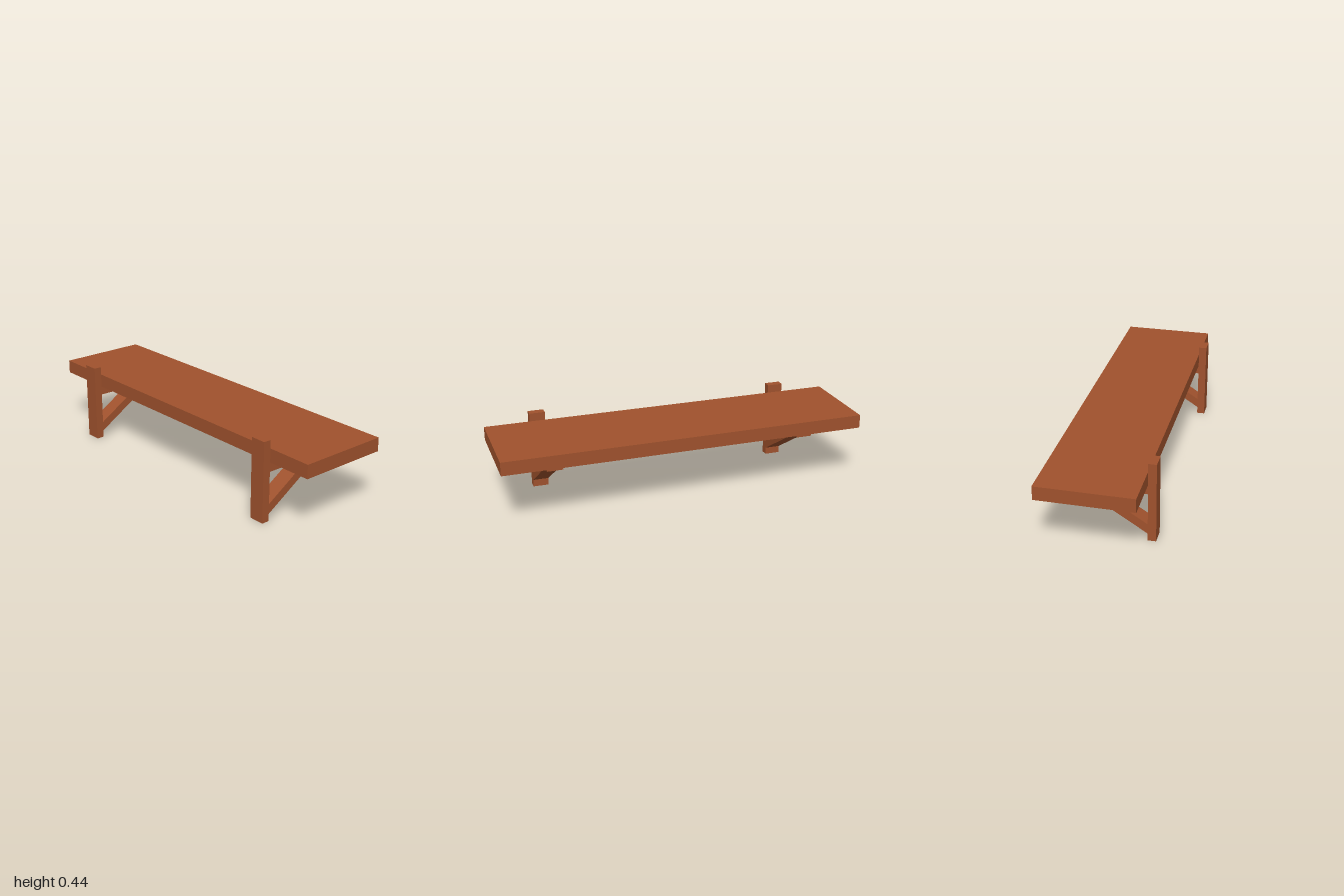
import * as THREE from 'three';

export function createModel() {
  const model = new THREE.Group();
  model.name = 'wallShelf';
  const wood = new THREE.MeshStandardMaterial({ color: 0xa0522d });
  wood.name = 'brown wood';

  const W = 0.086; // bracket timber width

  // Box given by its extents in y and z
  function beam(name, width, y0, y1, z0, z1) {
    const mesh = new THREE.Mesh(new THREE.BoxGeometry(width, y1 - y0, z1 - z0), wood);
    mesh.position.set(0, (y0 + y1) / 2, (z0 + z1) / 2);
    mesh.name = name;
    return mesh;
  }

  // Board
  model.add(beam('shelfBoard', 2, 0.318, 0.392, -0.272, 0.229));

  // Diagonal brace profile (z, y), mitred against post and arm
  const profile = new THREE.Shape([
    new THREE.Vector2(0.229, 0.04),
    new THREE.Vector2(0.229, 0.094),
    new THREE.Vector2(-0.046, 0.268),
    new THREE.Vector2(-0.132, 0.268),
  ]);
  const braceGeometry = new THREE.ExtrudeGeometry(profile, { depth: W, bevelEnabled: false });
  braceGeometry.translate(0, 0, -W / 2);
  braceGeometry.rotateY(-Math.PI / 2);

  // Brackets: post, arm under the board, and brace
  for (const [side, x] of [['left', 0.708], ['right', -0.708]]) {
    const bracket = new THREE.Group();
    bracket.name = side + 'Bracket';
    bracket.position.x = x;
    const brace = new THREE.Mesh(braceGeometry, wood);
    brace.name = 'brace';
    bracket.add(
      beam('post', W, 0, 0.437, 0.229, 0.272),
      beam('arm', W, 0.268, 0.317, -0.183, 0.229),
      brace
    );
    model.add(bracket);
  }
  return model;
}
